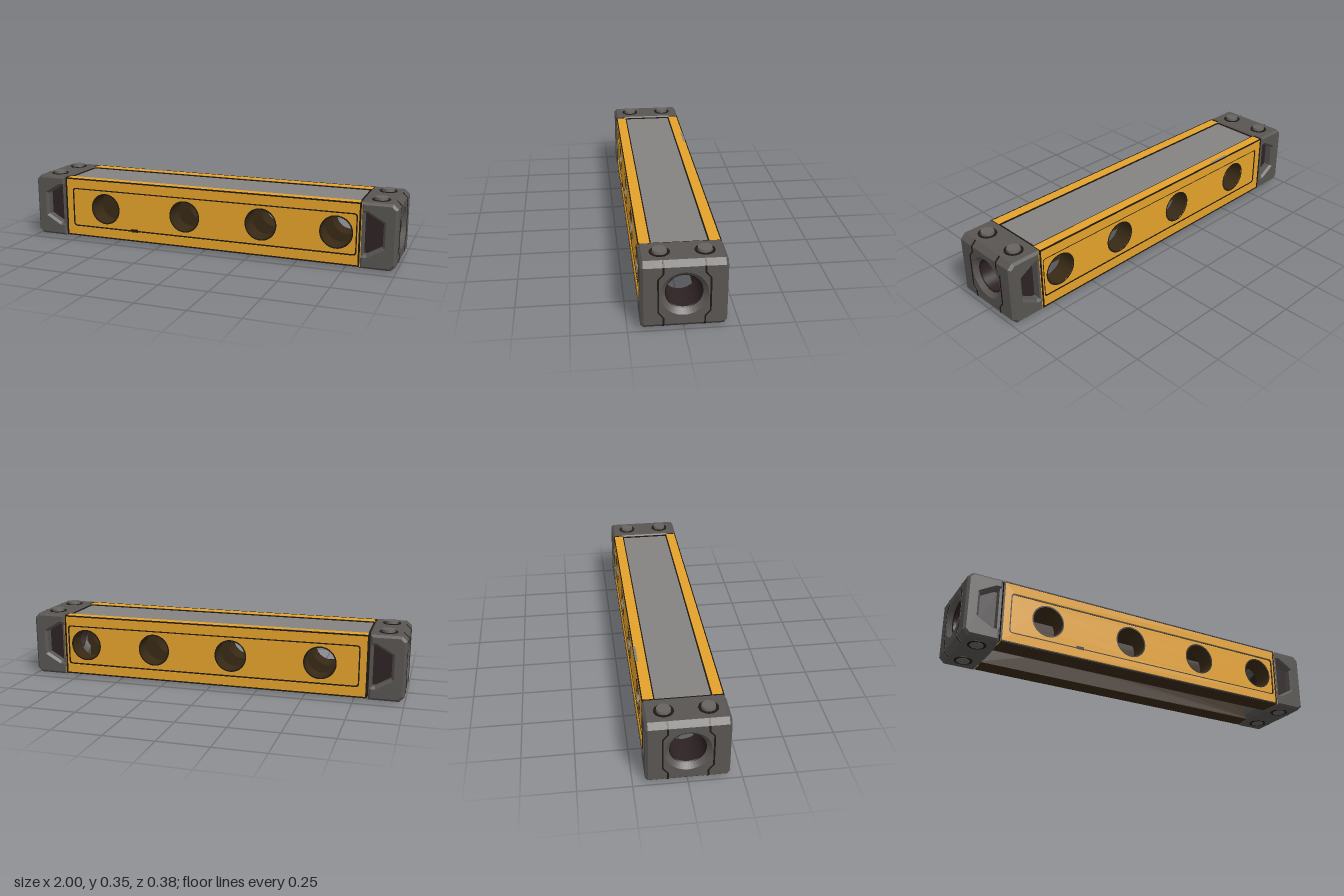
import * as THREE from 'three';

const mat = (name, color, side = THREE.FrontSide) => {
  const m = new THREE.MeshStandardMaterial({ color, side });
  m.name = name;
  return m;
};

// Rounded rectangle outline, usable as a shape or as a hole
function roundRect(path, x0, y0, x1, y1, r) {
  path.moveTo(x0 + r, y0);
  path.lineTo(x1 - r, y0).quadraticCurveTo(x1, y0, x1, y0 + r);
  path.lineTo(x1, y1 - r).quadraticCurveTo(x1, y1, x1 - r, y1);
  path.lineTo(x0 + r, y1).quadraticCurveTo(x0, y1, x0, y1 - r);
  path.lineTo(x0, y0 + r).quadraticCurveTo(x0, y0, x0 + r, y0);
  return path;
}

const polygon = (pts) => new THREE.Shape(pts.map(([x, y]) => new THREE.Vector2(x, y)));

const extrude = (shape, depth, bevel = 0) => new THREE.ExtrudeGeometry(shape, {
  depth, bevelEnabled: bevel > 0, bevelSize: bevel, bevelThickness: bevel,
  bevelSegments: 1, curveSegments: 24,
});

export function createModel() {
  const yellow = mat('yellow paint', 0xe4a22a);
  const darkSteel = mat('dark steel', 0x585552);
  const boltSteel = mat('bolt steel', 0x666361);
  const plateGrey = mat('plate grey', 0x858381);
  const seamDark = mat('seam dark', 0x1f1912, THREE.DoubleSide);
  const innerBrown = mat('inner brown', 0x382915, THREE.DoubleSide);
  const pocketDark = mat('pocket dark', 0x2d2224, THREE.DoubleSide);

  const model = new THREE.Group();
  const add = (parent, name, geometry, material, x = 0, y = 0, z = 0) => {
    const mesh = new THREE.Mesh(geometry, material);
    mesh.name = name;
    mesh.position.set(x, y, z);
    parent.add(mesh);
    return mesh;
  };
  const box = (parent, name, w, h, d, material, x, y, z) =>
    add(parent, name, new THREE.BoxGeometry(w, h, d), material, x, y, z);

  // Beam: two thick drilled side walls, each with a rim around a recessed panel
  const beam = new THREE.Group();
  beam.name = 'beam';
  model.add(beam);
  const X0 = -0.815, X1 = 0.825, Y0 = 0.012, Y1 = 0.334;
  const holeXs = [-0.575, -0.11, 0.31, 0.7], holeY = 0.175, holeR = 0.08;

  const rim = polygon([[X0, Y0], [X1, Y0], [X1, Y1], [X0, Y1]]);
  rim.holes.push(roundRect(new THREE.Path(), -0.775, 0.064, 0.805, 0.28, 0.02));
  const drilled = (y0, y1) => {
    const shape = polygon([[X0 + 0.01, y0], [X1 - 0.01, y0], [X1 - 0.01, y1], [X0 + 0.01, y1]]);
    for (const x of holeXs) shape.holes.push(new THREE.Path().absarc(x, holeY, holeR, 0, Math.PI * 2));
    return shape;
  };
  const seam = roundRect(new THREE.Shape(), -0.777, 0.062, 0.807, 0.282, 0.02);
  seam.holes.push(roundRect(new THREE.Path(), -0.768, 0.071, 0.798, 0.273, 0.016));

  const lip = new THREE.RingGeometry(holeR - 0.002, holeR + 0.005, 40);
  for (const [s, inner] of [[1, 0.072], [-1, 0.085]]) {
    // Extruded slab between two distances from the middle, on this side
    const slab = (name, shape, z0, z1, material) =>
      add(beam, name, extrude(shape, z1 - z0), material, 0, 0, s > 0 ? z0 : -z1);
    slab('wallRim', rim, 0.134, 0.186, yellow);
    slab('wallPanel', drilled(0.05, 0.3), 0.136, 0.181, yellow);
    slab('panelSeam', seam, 0.18, 0.183, seamDark);
    slab('innerWall', drilled(0.016, 0.306), inner, 0.135, innerBrown);

    // Dark sleeves and edges in the lightening holes
    const depth = 0.181 - inner;
    const sleeve = new THREE.CylinderGeometry(holeR - 0.001, holeR - 0.001, depth, 40, 1, true).rotateX(Math.PI / 2);
    for (const x of holeXs) {
      add(beam, 'holeSleeve', sleeve, innerBrown, x, holeY, s * (inner + depth / 2));
      add(beam, 'holeEdge', lip, seamDark, x, holeY, s * 0.1825)
        .rotation.y = s > 0 ? 0 : Math.PI;
    }

    // Dark underside, worn edges, and seams beside the top plate and caps
    box(beam, 'wallUnderside', 1.63, 0.006, 0.182 - inner, innerBrown, 0.005, Y0 + 0.001, s * (inner + 0.182) / 2);
    box(beam, 'edgeStrip', 1.63, 0.007, 0.005, seamDark, 0.005, Y1 - 0.0025, s * 0.185);
    box(beam, 'edgeStrip', 1.63, 0.007, 0.005, seamDark, 0.005, Y0 + 0.0025, s * 0.185);
    box(beam, 'plateSeam', 1.62, 0.008, 0.009, seamDark, 0.005, 0.3285, s * 0.1325);
    box(beam, 'plateEndSeam', 0.014, 0.008, 0.262, seamDark, s * 0.811, 0.327, 0);
    for (const x of [-0.812, 0.817]) {
      box(beam, 'wallEndSeam', 0.009, 0.322, 0.053, seamDark, x, 0.1735, s * 0.161);
    }
  }
  box(beam, 'topPlate', 1.63, 0.02, 0.27, plateGrey, 0.005, 0.317, 0);
  box(beam, 'ceiling', 1.63, 0.006, 0.26, innerBrown, 0.005, 0.305, 0);

  // Worn patches of bare metal
  box(beam, 'wornPatch', 0.12, 0.004, 0.012, plateGrey, -0.45, Y1, -0.179);
  box(beam, 'wornPatch', 0.04, 0.016, 0.004, seamDark, -0.4, 0.07, 0.185);

  // End cap, built at +x and turned around for the other end
  const buildCap = () => {
    const cap = new THREE.Group();
    cap.name = 'endCap';
    const lo = 0.005, hi = 0.338, mid = 0.179;

    // Core with a chamfered bore running lengthwise
    const k = 0.025;
    const core = polygon([[-0.115, lo + k], [0.115, lo + k], [0.115, hi - k], [-0.115, hi - k]]);
    core.holes.push(new THREE.Path().absarc(0, mid, 0.106, 0, Math.PI * 2));
    add(cap, 'capCore', extrude(core, 0.153, k).rotateY(Math.PI / 2), darkSteel, 0.82);
    const bore = new THREE.CylinderGeometry(0.0803, 0.0803, 0.153, 48, 1, true).rotateZ(Math.PI / 2);
    add(cap, 'boreLiner', bore, pocketDark, 0.8965, mid, 0);

    // Dark line around the mouth of the bore
    const mouth = new THREE.CylinderGeometry(0.0845, 0.0795, 0.005, 48, 1, true).rotateZ(-Math.PI / 2);
    add(cap, 'boreEdge', mouth, seamDark, 0.9745, mid, 0);

    // Chamfered cheeks with a tapered notch on the inner side
    const b = 0.012, c = 0.018, x0 = 0.82 + b, x1 = 0.998 - b, y0 = lo + b, y1 = hi - b;
    const cheek = extrude(polygon([
      [x0, y0], [x1 - c, y0], [x1, y0 + c], [x1, y1 - c], [x1 - c, y1], [x0, y1],
      [x0, 0.296], [0.855, 0.296], [0.942, 0.245], [0.942, 0.112], [0.855, 0.062], [x0, 0.062],
    ]), 0.065, b);
    for (const s of [-1, 1]) {
      add(cap, 'capCheek', cheek, darkSteel, 0, 0, s > 0 ? 0.115 : -0.18);
      box(cap, 'pocketFloor', 0.115, 0.24, 0.006, pocketDark, 0.885, mid, s * 0.141);
      box(cap, 'pocketLip', 0.014, 0.28, 0.07, darkSteel, 0.829, mid, s * 0.15);

      // Jogged groove on the end face, carried over both chamfers
      const line = [[0.092, 0.03], [0.092, 0.062], [0.115, 0.09], [0.115, 0.255], [0.092, 0.283], [0.092, 0.313]];
      const w = 0.004;
      const strip = polygon([
        ...line.map(([z, y]) => [-s * z - w, y]),
        ...line.slice().reverse().map(([z, y]) => [-s * z + w, y]),
      ]);
      add(cap, 'endGroove', extrude(strip, 0.004).rotateY(Math.PI / 2), seamDark, 0.9955);
      for (const [y, turn] of [[hi - k / 2, -1], [lo + k / 2, 1]]) {
        box(cap, 'chamferGroove', 0.035, 0.004, 2 * w, seamDark, 0.9855, y, s * 0.092)
          .rotation.z = turn * Math.PI / 4;
      }

      // Bolts above and below, each in a dark ring
      for (const [y, dir, h] of [[hi, 1, 0.015], [lo, -1, 0.005]]) {
        const head = new THREE.CylinderGeometry(0.032, 0.036, h * 2, 24);
        if (dir < 0) head.rotateX(Math.PI);
        const ring = new THREE.CylinderGeometry(0.046, 0.046, 0.004, 28);
        add(cap, 'boltRing', ring, seamDark, 0.9, y, s * 0.1);
        add(cap, 'bolt', head, boltSteel, 0.9, y, s * 0.1);
      }
    }
    return cap;
  };
  const leftCap = buildCap();
  const rightCap = buildCap();
  leftCap.name = 'leftEndCap';
  rightCap.name = 'rightEndCap';
  rightCap.rotation.y = Math.PI;
  model.add(leftCap, rightCap);

  return model;
}
